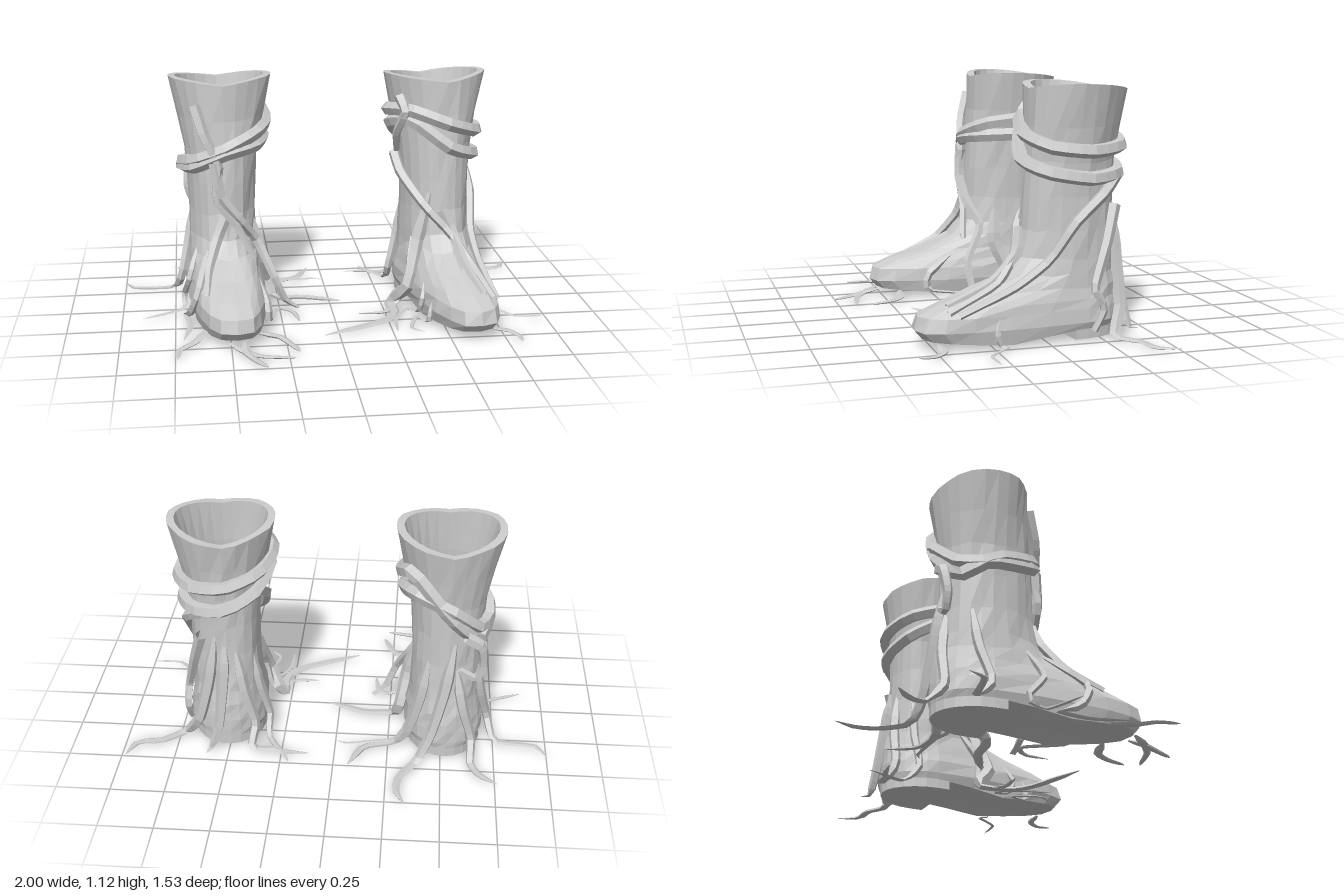
import * as THREE from 'three';

const N = 24;
const RAD = Math.PI / 180;
const mat = new THREE.MeshStandardMaterial({ color: 0xcccccc, flatShading: true, side: THREE.DoubleSide });

// boot cross-sections: height, reach to the back, reach to the front, half width
const ROWS = [
  [0.03, 0.22, 0.71, 0.175], [0.10, 0.225, 0.75, 0.188], [0.16, 0.222, 0.73, 0.183],
  [0.20, 0.22, 0.63, 0.175], [0.25, 0.215, 0.47, 0.167], [0.31, 0.205, 0.33, 0.162],
  [0.38, 0.195, 0.265, 0.16], [0.5, 0.187, 0.24, 0.16], [0.65, 0.187, 0.235, 0.165],
  [0.8, 0.193, 0.225, 0.175], [0.95, 0.21, 0.21, 0.205], [1.12, 0.235, 0.205, 0.247],
];

function rowAt(y) {
  let i = 0;
  while (i < ROWS.length - 2 && ROWS[i + 1][0] < y) i++;
  const t = THREE.MathUtils.clamp((y - ROWS[i][0]) / (ROWS[i + 1][0] - ROWS[i][0]), 0, 1);
  return ROWS[i].map((v, k) => THREE.MathUtils.lerp(v, ROWS[i + 1][k], t));
}

// point on the boot surface; angle 0 = front, 90 = +x, 180 = back; the toe is blunt
function onBoot(deg, y, off = 0) {
  const [, back, front, w] = rowAt(y);
  const s = Math.sin(deg * RAD), c = Math.cos(deg * RAD);
  const power = c > 0 ? 1 - 0.32 * THREE.MathUtils.smoothstep(front, 0.23, 0.5) : 1;
  const x = w * Math.sign(s) * Math.abs(s) ** power;
  return new THREE.Vector3(x + s * off, y, c * ((c > 0 ? front : back) + off));
}

function soleY(z) {
  if (z < 0.06) return 0.07;
  return z < 0.36 ? THREE.MathUtils.mapLinear(z, 0.06, 0.36, 0.07, 0.03)
    : THREE.MathUtils.mapLinear(z, 0.36, 0.72, 0.03, 0.06);
}

// surface through closed rings, capped at both ends
function loft(rings) {
  const pos = [], index = [];
  rings.forEach((r) => r.forEach((p) => pos.push(p.x, p.y, p.z)));
  for (let i = 0; i < rings.length - 1; i++) {
    for (let j = 0; j < N; j++) {
      const a = i * N + j, b = i * N + (j + 1) % N;
      index.push(a, b, b + N, a, b + N, a + N);
    }
  }
  [0, rings.length - 1].forEach((k) => {
    const mid = rings[k].reduce((m, p) => m.add(p), new THREE.Vector3()).divideScalar(N);
    const id = pos.length / 3;
    pos.push(mid.x, mid.y, mid.z);
    for (let j = 0; j < N; j++) {
      const a = k * N + j, b = k * N + (j + 1) % N;
      if (k === 0) index.push(id, b, a); else index.push(id, a, b);
    }
  });
  const g = new THREE.BufferGeometry();
  g.setAttribute('position', new THREE.Float32BufferAttribute(pos, 3));
  g.setIndex(index);
  g.computeVertexNormals();
  return g;
}

function makeBoot(seed) {
  const boot = new THREE.Group();
  const rand = () => ((seed = (seed * 16807) % 2147483647) / 2147483647 - 0.5);
  const ring = (fn) => Array.from({ length: N }, (_, j) => fn(j * 360 / N));
  const rimY = (a) => 1.1 + 0.035 * Math.abs(Math.sin(a * RAD)) + 0.012 * Math.cos(a * RAD);
  const rings = ROWS.map(([y], i) => ring((a) => {
    const p = onBoot(a, y, i > 0 ? rand() * 0.01 : 0);
    if (i === 0) p.y = soleY(p.z);
    else if (i === ROWS.length - 1) p.y = rimY(a);
    else if (i > 3) p.y += rand() * 0.015;
    return p;
  }));
  // rim thickness and hollow inside
  rings.push(ring((a) => onBoot(a, 1.12, -0.035).setY(rimY(a))));
  [[0.92, -0.035], [0.7, -0.035], [0.5, -0.045], [0.44, -0.09]].forEach(([y, off]) => {
    rings.push(ring((a) => onBoot(a, y, off)));
  });
  const upper = new THREE.Mesh(loft(rings), mat);
  upper.name = 'bootUpper';
  boot.add(upper);

  // heel block: rear part of the sole outline
  const outline = ring((a) => onBoot(a, 0.03)).filter((p) => p.z < 0.03)
    .sort((p, q) => Math.atan2(q.x, -q.z) - Math.atan2(p.x, -p.z));
  outline.unshift(new THREE.Vector3(0.175, 0, 0.06));
  outline.push(new THREE.Vector3(-0.175, 0, 0.06));
  const heelGeo = new THREE.ExtrudeGeometry(new THREE.Shape(outline.map((p) => new THREE.Vector2(p.x, -p.z))),
    { depth: 0.055, bevelEnabled: false });
  const heel = new THREE.Mesh(heelGeo.rotateX(-Math.PI / 2).translate(0, 0.025, 0), mat);
  heel.name = 'heel';
  boot.add(heel);
  return boot;
}

// five-sided vine through points; radius(t) along its length, flattened where it lies on the ground
function vine(name, pts, radius, closed = false) {
  const path = new THREE.CatmullRomCurve3(pts, closed, 'catmullrom', 0.3);
  const steps = pts.length * 3, sides = 5;
  const g = new THREE.TubeGeometry(path, steps, 1, sides, closed);
  const p = g.attributes.position, v = new THREE.Vector3();
  for (let i = 0; i <= steps; i++) {
    const c = path.getPointAt(i / steps), r = radius(i / steps);
    for (let j = 0; j <= sides; j++) {
      const k = i * (sides + 1) + j;
      v.fromBufferAttribute(p, k).sub(c).multiplyScalar(r);
      if (c.y < 0.06) v.y *= 0.35;
      p.setXYZ(k, c.x + v.x, c.y + v.y, c.z + v.z);
    }
  }
  g.computeVertexNormals();
  const m = new THREE.Mesh(g, mat);
  m.name = name;
  return m;
}

// wraps: closed loops of [angle, height]
// climbers: open vines of [angle, height, offset]
// roots: start angle, start height, end angle, thickness, then ground points [x, z]
const RIGHT = {
  name: 'rightBoot', x: -0.51, z: -0.185, turn: 3, seed: 11,
  wraps: [
    [[0, 0.82], [45, 0.88], [90, 0.91], [135, 0.98], [180, 0.78], [-135, 0.64], [-90, 0.72], [-45, 0.76]],
    [[0, 0.8], [45, 0.82], [90, 0.83], [135, 0.87], [180, 0.82], [-135, 0.7], [-90, 0.7], [-45, 0.73]],
  ],
  climbers: [
    [[-35, 1.02, 0.01], [-25, 0.88, 0.03], [-10, 0.75, 0.02], [-15, 0.58, 0.02], [15, 0.45, 0.02], [40, 0.3, 0.02]],
    [[-160, 0.68, 0.04], [-145, 0.64, 0.08], [-140, 0.54, 0.08], [-145, 0.46, 0.06], [-165, 0.5, 0.02]],
    [[-15, 0.76, 0.02], [-8, 0.6, 0.02], [20, 0.48, 0.02], [50, 0.36, 0.03], [65, 0.2, 0.06], [70, 0.08, 0.1], [72, 0.035, 0.17]],
    [[0, 0.5, 0], [-15, 0.4, 0.015], [-28, 0.28, 0.01], [-34, 0.2, 0]],
  ],
  roots: [
    [-120, 0.5, -95, 0.024, [-0.76, -0.28], [-0.95, -0.3], [-1, -0.38]],
    [-165, 0.48, -145, 0.028, [-0.64, -0.46], [-0.68, -0.54], [-0.76, -0.6]],
    [-170, 0.62, 160, 0.03, [-0.39, -0.46], [-0.31, -0.58], [-0.3, -0.68], [-0.34, -0.77]],
    [145, 0.52, 125, 0.03, [-0.28, -0.32], [-0.14, -0.36], [-0.07, -0.5]],
    [110, 0.15, 110, 0.014, [-0.25, -0.31], [-0.06, -0.34], [-0.01, -0.32]],
    [60, 0.45, 85, 0.034, [-0.27, -0.08], [-0.13, -0.08], [0.05, -0.01]],
    [50, 0.22, 50, 0.02, [-0.26, 0.08], [-0.19, 0.12], [-0.17, 0.24]],
    [-60, 0.33, -80, 0.018, [-0.71, 0.04], [-0.9, 0.13]],
    [-35, 0.33, -60, 0.022, [-0.7, 0.1], [-0.68, 0.25], [-0.71, 0.41]],
    [-40, 0.05, -40, 0.022, [-0.66, 0.46], [-0.73, 0.53], [-0.74, 0.63]],
    [30, 0.05, 30, 0.022, [-0.28, 0.44], [-0.24, 0.5], [-0.2, 0.6]],
    [-5, 0.05, -5, 0.02, [-0.45, 0.59], [-0.37, 0.64], [-0.22, 0.67]],
    [5, 0.05, 5, 0.022, [-0.44, 0.6], [-0.4, 0.68], [-0.35, 0.76]],
  ],
};
const LEFT = {
  name: 'leftBoot', x: 0.525, z: -0.16, turn: 8, seed: 29,
  wraps: [
    [[0, 0.92], [45, 0.87], [90, 0.85], [135, 0.86], [180, 0.88], [-135, 0.92], [-90, 0.96], [-45, 0.98]],
    [[0, 0.81], [45, 0.76], [90, 0.73], [135, 0.74], [180, 0.76], [-135, 0.82], [-90, 0.9], [-45, 0.93]],
  ],
  climbers: [
    [[150, 0.74, 0.02], [110, 0.66, 0.02], [75, 0.54, 0.02], [52, 0.38, 0.02], [40, 0.27, 0.015], [34, 0.17, 0.005]],
    [[-60, 1.04, 0.01], [-50, 0.97, 0.04], [-70, 0.86, 0.04], [-85, 0.76, 0.02]],
    [[-95, 0.74, 0.02], [-75, 0.65, 0.02], [-35, 0.52, 0.02], [0, 0.4, 0.015], [18, 0.28, 0.01], [24, 0.18, 0.005]],
    [[140, 0.6, 0.015], [120, 0.45, 0.015], [100, 0.3, 0.02], [95, 0.24, 0.025], [105, 0.16, 0.025], [95, 0.06, 0.01]],
    [[-10, 0.5, 0], [5, 0.4, 0.01], [8, 0.28, 0.005], [10, 0.2, -0.005]],
  ],
  roots: [
    [-165, 0.52, -145, 0.028, [0.39, -0.41], [0.26, -0.41], [0.21, -0.5]],
    [-130, 0.48, -115, 0.022, [0.32, -0.31], [0.25, -0.42], [0.12, -0.43]],
    [160, 0.6, 135, 0.032, [0.72, -0.3], [0.83, -0.38], [0.94, -0.4], [0.98, -0.5]],
    [175, 0.55, 165, 0.032, [0.58, -0.42], [0.6, -0.46]],
    [-30, 0.58, -70, 0.036, [0.29, 0.04], [0.29, 0.2], [0.2, 0.3], [-0.07, 0.43]],
    [-65, 0.35, -75, 0.02, [0.31, 0.08], [0.25, 0.17], [0.12, 0.18]],
    [-55, 0.2, -60, 0.014, [0.36, 0.15], [0.28, 0.28], [0.27, 0.42]],
    [-50, 0.13, -50, 0.014, [0.39, 0.25], [0.34, 0.38], [0.39, 0.44]],
    [55, 0.15, 55, 0.012, [0.77, 0.2], [0.86, 0.3], [1, 0.3]],
    [20, 0.05, 20, 0.018, [0.77, 0.48], [0.81, 0.53], [0.81, 0.6]],
  ],
};

function bootWithVines(d) {
  const group = new THREE.Group();
  group.name = d.name;
  const boot = makeBoot(d.seed);
  boot.name = d.name + 'Body';
  boot.position.set(d.x, 0, d.z);
  boot.rotation.y = d.turn * RAD;
  boot.updateMatrix();
  group.add(boot);
  const at = (a, y, off) => onBoot(a, y, off).applyMatrix4(boot.matrix);

  d.wraps.forEach((w) => group.add(vine('wrapVine', w.map(([a, y]) => at(a, y, 0.022)), () => 0.033, true)));
  d.climbers.forEach((c) => group.add(vine('climbingVine', c.map((p) => at(...p)), (t) => 0.029 - 0.013 * t)));
  d.roots.forEach(([a, y, b, r, ...ground]) => {
    const end = a < -150 && b > 0 ? b - 360 : b;
    const pts = [at(a, y, -0.01)];
    if (y > 0.1) pts.push(at((a + end) / 2, y * 0.6, 0.01), at(end, y * 0.25, 0.022));
    ground.forEach(([x, z], i) => pts.push(new THREE.Vector3(x, i === 0 ? 0.035 : 0.028, z)));
    const radius = (t) => r * Math.min(0.4 + 4 * t, 1.15 - 0.6 * t, 0.1 + 5 * (1 - t));
    group.add(vine('root', pts, radius));
  });
  return group;
}

export function createModel() {
  const model = new THREE.Group();
  model.name = 'rootedBoots';
  model.add(bootWithVines(RIGHT), bootWithVines(LEFT));
  return model;
}
